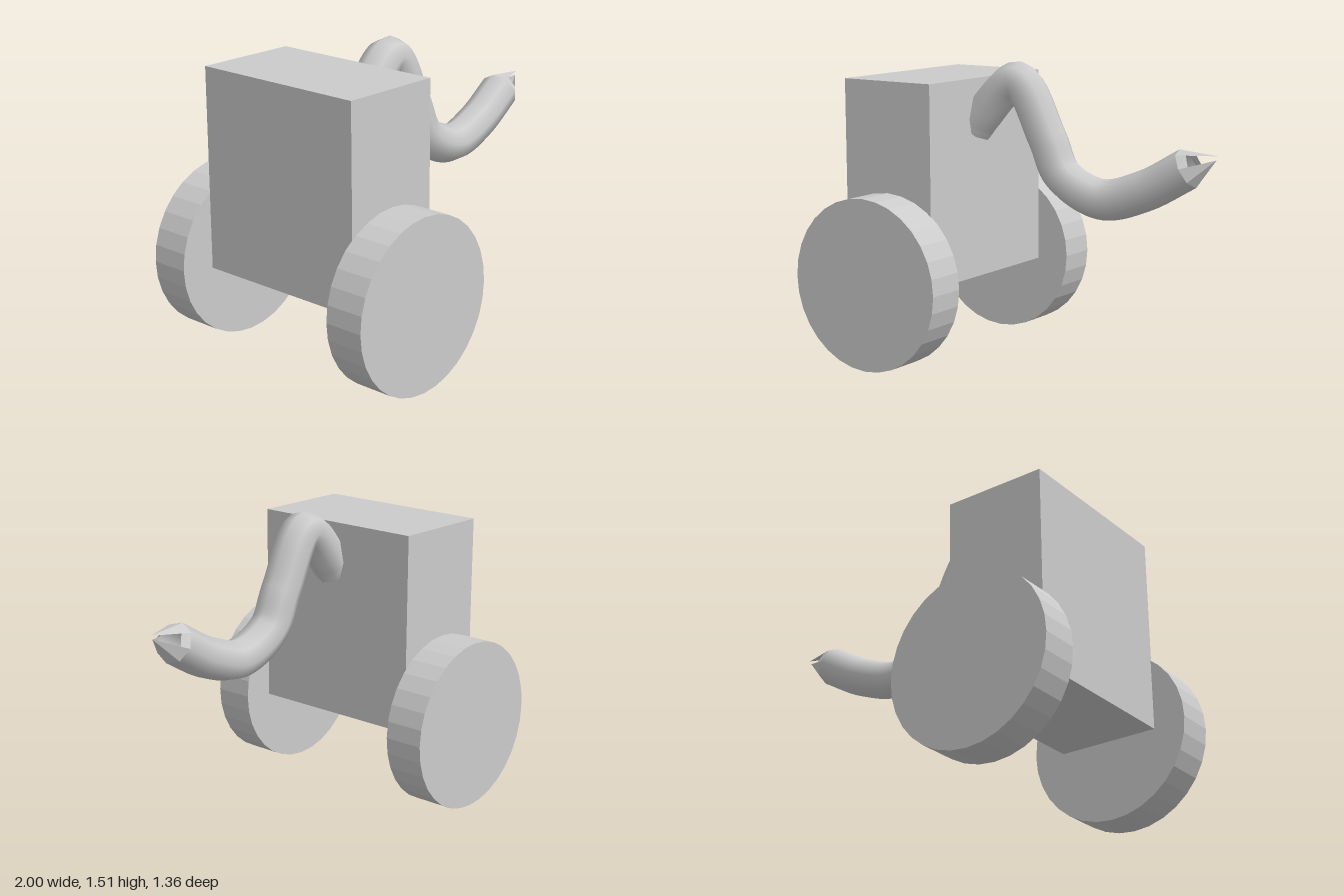
import * as THREE from 'three';

const material = new THREE.MeshStandardMaterial({ color: 0xcccccc });
const flat = new THREE.MeshStandardMaterial({ color: 0xcccccc, flatShading: true });
const openFlat = new THREE.MeshStandardMaterial({ color: 0xcccccc, flatShading: true, side: THREE.DoubleSide });
const openSmooth = new THREE.MeshStandardMaterial({ color: 0xcccccc, side: THREE.DoubleSide });

function addPart(parent, name, geometry, mat, x = 0, y = 0, z = 0) {
  const mesh = new THREE.Mesh(geometry, mat);
  mesh.name = name;
  mesh.position.set(x, y, z);
  parent.add(mesh);
  return mesh;
}

// Split cone on the end of the arm: an upper and a lower jaw with a gap on each side
function jawGeometry(ring, center, up) {
  const upperTip = new THREE.Vector3(1, 1.12, -0.02);
  const lowerTip = new THREE.Vector3(0.99, 1.1, -0.02);
  const points = [];
  for (let i = 0; i < ring.length; i++) {
    const a = ring[i], b = ring[(i + 1) % ring.length];
    const height = (p) => p.clone().sub(center).dot(up);
    const mid = (height(a) + height(b)) / 2;
    if (mid > 0.06) points.push(a, b, upperTip);
    else if (mid < 0) points.push(a, b, lowerTip);
    else {
      // short cheek that closes the base of the gap
      const inward = (p, q) => p.clone().lerp(height(p) > height(q) ? upperTip : lowerTip, 0.25);
      const c = inward(b, a), d = inward(a, b);
      points.push(a, b, c, a, c, d);
    }
  }
  const geometry = new THREE.BufferGeometry().setFromPoints(points);
  geometry.computeVertexNormals();
  return geometry;
}

export function createModel() {
  const model = new THREE.Group();
  model.name = 'wheeledRobot';

  // Body block
  addPart(model, 'body', new THREE.BoxGeometry(0.53, 1.01, 0.93), material, -0.567, 0.915, 0.01);

  // Wheels
  const wheel = new THREE.CylinderGeometry(0.432, 0.432, 0.205, 32).rotateX(Math.PI / 2);
  addPart(model, 'frontWheel', wheel, flat, -0.568, 0.434, 0.573);
  addPart(model, 'backWheel', wheel, flat, -0.568, 0.434, -0.577);

  // Curved arm
  const path = new THREE.CatmullRomCurve3([
    [-0.34, 1.17, 0.058], [-0.3, 1.22, 0.055], [-0.09, 1.41, 0.035], [0.08, 1.14, 0.03],
    [0.17, 0.965, 0.03], [0.39, 0.865, 0.025], [0.62, 0.925, 0.01], [0.845, 1.05, -0.01],
  ].map((p) => new THREE.Vector3(...p)));
  const segments = 64, sides = 8;
  const arm = new THREE.TubeGeometry(path, segments, 0.1, sides);
  addPart(model, 'arm', arm, openSmooth);

  // Jaws grow from the last ring of the arm
  const ring = Array.from({ length: sides }, (_, j) =>
    new THREE.Vector3().fromBufferAttribute(arm.attributes.position, segments * (sides + 1) + j));
  const tangent = path.getTangentAt(1);
  const up = new THREE.Vector3(-tangent.y, tangent.x, 0).normalize();
  addPart(model, 'jaws', jawGeometry(ring, path.getPointAt(1), up), openFlat);

  return model;
}
